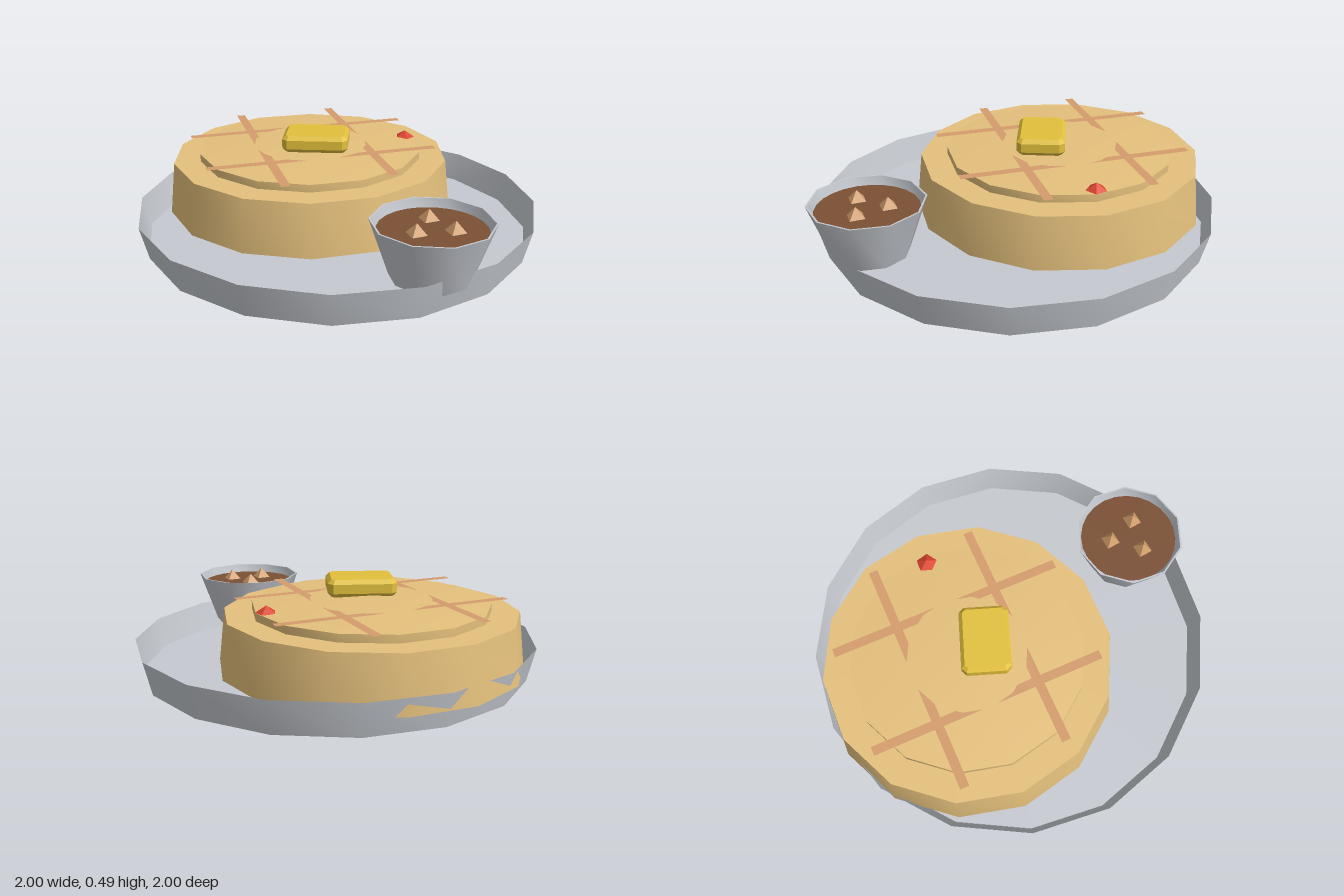
import * as THREE from 'three';
import { toCreasedNormals } from 'three/addons/utils/BufferGeometryUtils.js';

const mat = (name, color, side = THREE.FrontSide) => {
  const m = new THREE.MeshStandardMaterial({ color, side });
  m.name = name;
  return m;
};

export function createModel() {
  const group = new THREE.Group();
  const grey = mat('plate grey', 0xc6cad0, THREE.DoubleSide);
  const batter = mat('golden batter', 0xe4c07c);
  const crust = mat('toasted brown', 0xd49c6c, THREE.DoubleSide);
  const butterYellow = mat('butter yellow', 0xe2c03c);
  const sauceBrown = mat('sauce brown', 0x7a5034);
  const nutBrown = mat('nut tan', 0xd09c6a);
  const berryRed = mat('berry red', 0xdc4630);

  const add = (name, geometry, material, x, y, z) => {
    const mesh = new THREE.Mesh(geometry, material);
    mesh.name = name;
    mesh.position.set(x, y, z);
    group.add(mesh);
    return mesh;
  };
  // Few-sided turned part: smooth around, sharp at the profile's corners
  const lathe = (points, sides) => toCreasedNormals(
    new THREE.LatheGeometry(points.map(([r, y]) => new THREE.Vector2(r, y)), sides), 0.7);

  // Shallow dish with a thin flared wall and a low floor slab
  add('plate', lathe([[0, 0], [0.96, 0], [1, 0.165]], 16), grey, 0, 0, 0);
  add('plateFloor', lathe([[0.96, 0.002], [0.96, 0.02], [0, 0.02]], 16), grey, 0, 0, 0);

  // Round cake: tapered body and a raised, slightly conical top
  const cx = -0.22, cz = -0.15;
  add('cakeBody', lathe([[0, 0.08], [0.74, 0.08], [0.71, 0.342], [0, 0.342]], 14), batter, cx, 0, cz);
  add('cakeTop', lathe([[0.575, 0.34], [0.575, 0.38], [0, 0.416]], 14), batter, cx, 0, cz);

  // Flat crossing toasted strips, sinking into the middle of the top
  const strips = [
    [-0.4, -0.77, 0.355, 0.13],
    [-0.8, -0.43, -0.045, 0.47],
    [0.06, -0.73, -0.84, 0.03],
    [0.4, -0.34, -0.5, 0.42],
  ];
  for (const [x0, z0, x1, z1] of strips) {
    const geometry = new THREE.PlaneGeometry(Math.hypot(x1 - x0, z1 - z0), 0.045).rotateX(-Math.PI / 2);
    const strip = add('toastedStrip', geometry, crust, (x0 + x1) / 2, 0.3975, (z0 + z1) / 2);
    strip.rotation.y = -Math.atan2(z1 - z0, x1 - x0);
  }

  // Butter pat: cut-corner block with one bevel all round
  const a = 0.147, b = 0.102, c = 0.015;
  const outline = new THREE.Shape([
    [a, c - b], [a, b - c], [a - c, b], [c - a, b], [-a, b - c], [-a, c - b], [c - a, -b], [a - c, -b],
  ].map(([x, y]) => new THREE.Vector2(x, y)));
  const pat = new THREE.ExtrudeGeometry(outline, {
    depth: 0.045, bevelEnabled: true, bevelSegments: 1, bevelSize: 0.018, bevelThickness: 0.02,
  }).translate(0, 0, -0.0225).rotateX(-Math.PI / 2);
  add('butter', pat, butterYellow, -0.15, 0.449, -0.08).rotation.y = 0.35;

  // Small berry
  const berry = add('berry', lathe([[0.053, 0], [0, 0.034]], 5), berryRed, 0.185, 0.382, -0.49);
  berry.rotation.y = Math.PI;

  // Sauce cup with a narrow lip, overlapping the edge of the plate
  const ux = 0.65, uz = 0.455;
  add('cup', lathe([[0, 0.085], [0.187, 0.085], [0.278, 0.346], [0.269, 0.346], [0.254, 0.29]], 10), grey, ux, 0, uz);
  const sauce = add('sauce', new THREE.CircleGeometry(0.246, 24), sauceBrown, ux, 0.305, uz);
  sauce.rotation.x = -Math.PI / 2;

  // Chunks floating in the sauce
  for (const [x, z] of [[0.605, 0.37], [0.75, 0.45], [0.605, 0.54]])
    add('nutChunk', new THREE.OctahedronGeometry(0.05), nutBrown, x, 0.312, z);

  return group;
}
